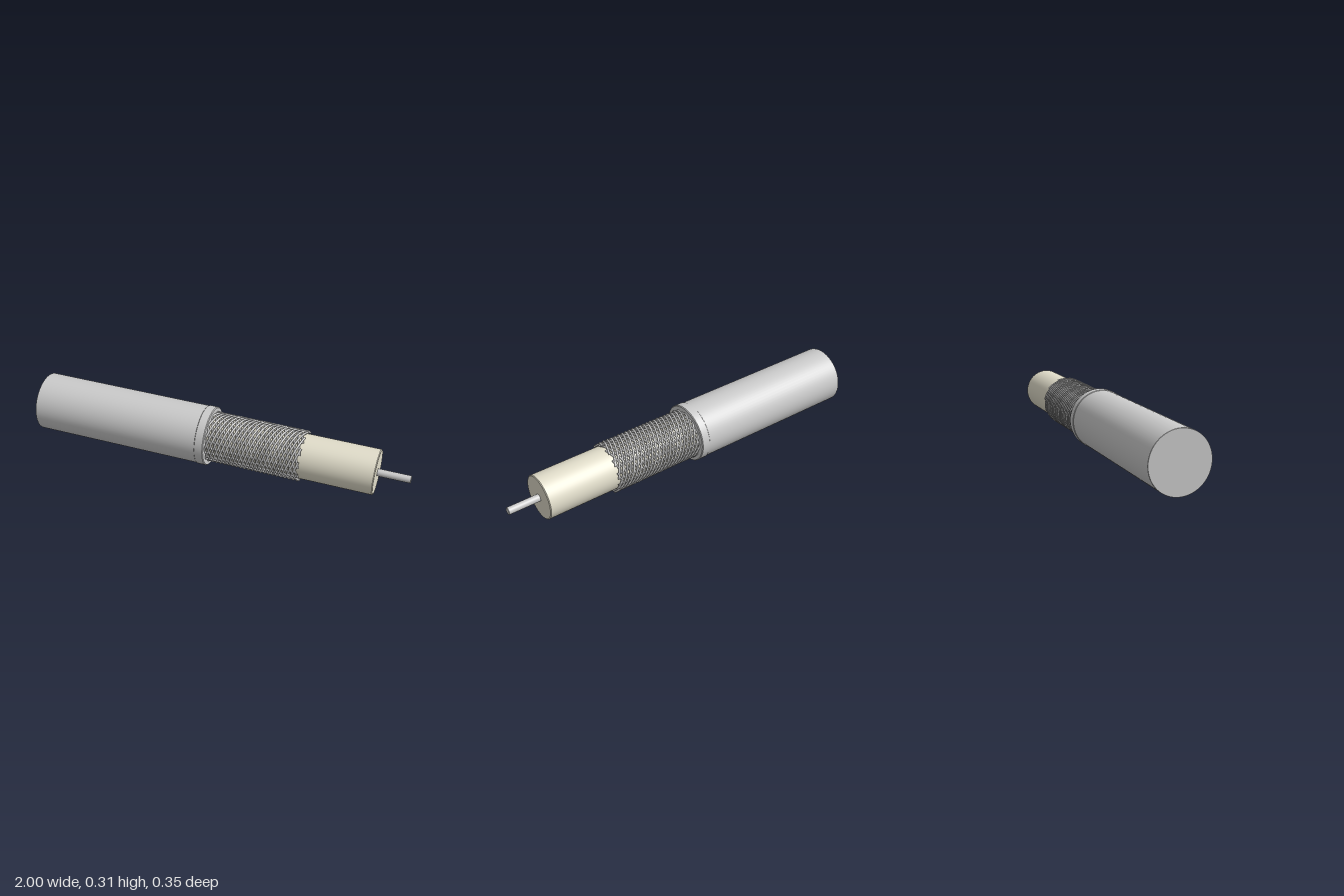
import * as THREE from 'three';

const grey = new THREE.MeshStandardMaterial({ color: 0xcccccc });
const cream = new THREE.MeshStandardMaterial({ color: 0xe2decb });

// Solid round section along the x axis, with a small chamfer at both ends
function rod(name, x0, x1, r, bevel, material) {
  const outline = [[0, x0], [r - bevel, x0], [r, x0 + bevel], [r, x1 - bevel], [r - bevel, x1], [0, x1]];
  const group = new THREE.Group();
  group.name = name;
  // one lathe per straight run keeps the edges crisp
  for (let i = 0; i < outline.length - 1; i++) {
    const run = [outline[i], outline[i + 1]].map(([a, b]) => new THREE.Vector2(a, b));
    const mesh = new THREE.Mesh(new THREE.LatheGeometry(run, 64), material);
    mesh.name = name + 'Surface';
    mesh.rotation.z = -Math.PI / 2;
    group.add(mesh);
  }
  return group;
}

// Helix winding around the x axis
class Helix extends THREE.Curve {
  constructor(x0, x1, radius, pitch, start) {
    super();
    Object.assign(this, { x0, x1, radius, pitch, start });
  }
  getPoint(t, target = new THREE.Vector3()) {
    const x = this.x0 + (this.x1 - this.x0) * t;
    const a = this.start + ((x - this.x0) / this.pitch) * Math.PI * 2;
    return target.set(x, this.radius * Math.cos(a), this.radius * Math.sin(a));
  }
}

// Braided shield: two sets of strands wound in opposite directions
function braid(x0, x1) {
  const group = new THREE.Group();
  group.name = 'braidedShield';
  const strands = 12, pitch = 0.26;
  for (const dir of [1, -1]) {
    for (let k = 0; k < strands; k++) {
      const path = new Helix(x0, x1, dir > 0 ? 0.1235 : 0.1275, dir * pitch, (k / strands) * Math.PI * 2);
      const strand = new THREE.Mesh(new THREE.TubeGeometry(path, 90, 0.0058, 6), grey);
      strand.name = 'braidStrand';
      group.add(strand);
    }
  }
  return group;
}

export function createModel() {
  const model = new THREE.Group();
  model.name = 'coaxialCable';

  const cable = new THREE.Group();
  cable.name = 'cable';
  cable.position.set(0, 0.155, 0.018);
  cable.rotation.y = -0.0436;
  model.add(cable);

  cable.add(rod('outerJacket', -0.993, -0.07, 0.1525, 0.001, grey));
  cable.add(rod('jacketCollar', -0.087, -0.037, 0.155, 0.004, grey));
  cable.add(braid(-0.06, 0.455));
  cable.add(rod('insulator', -0.06, 0.832, 0.116, 0.004, cream));
  cable.add(rod('centreConductor', 0.8, 1.0, 0.019, 0.002, grey));

  return model;
}
